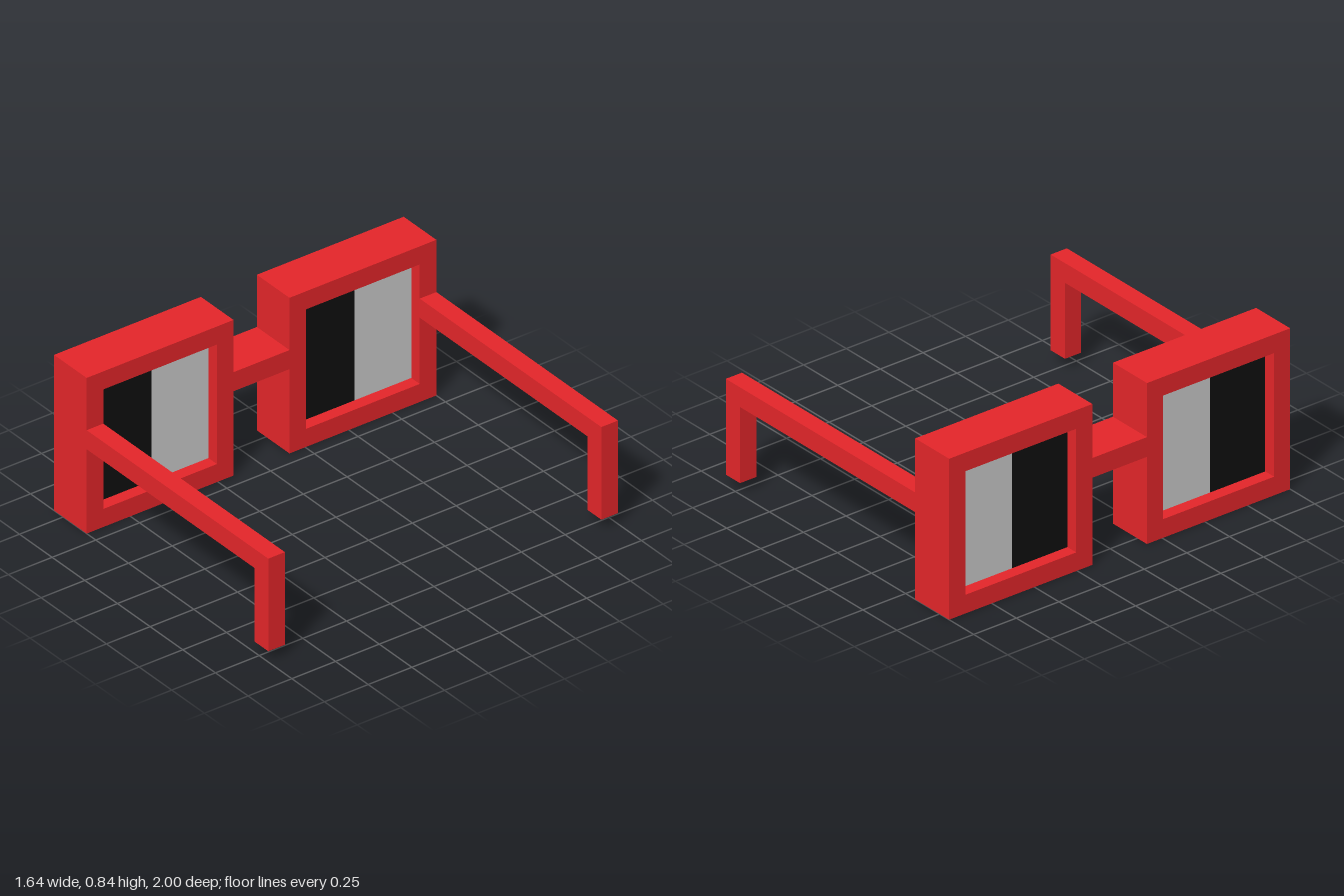
import * as THREE from 'three';

const red = new THREE.MeshStandardMaterial({ color: 0xe5262a });
const black = new THREE.MeshStandardMaterial({ color: 0x0f0f0f });
const grey = new THREE.MeshStandardMaterial({ color: 0xcccccc });

const FRONT = -0.82, BACK = -0.57; // depth range of the rims along x

// Box given by its minimum and maximum corners
function box(name, material, [x0, y0, z0], [x1, y1, z1]) {
  const mesh = new THREE.Mesh(new THREE.BoxGeometry(x1 - x0, y1 - y0, z1 - z0), material);
  mesh.position.set((x0 + x1) / 2, (y0 + y1) / 2, (z0 + z1) / 2);
  mesh.name = name;
  return mesh;
}

// Rectangle outline, centred on the origin
function rectangle(PathType, w, h) {
  return new PathType([[-1, -1], [1, -1], [1, 1], [-1, 1]]
    .map(([x, y]) => new THREE.Vector2(x * w / 2, y * h / 2)));
}

// Square rim with a window through it
function rim(zCentre) {
  const shape = rectangle(THREE.Shape, 0.84, 0.84);
  shape.holes.push(rectangle(THREE.Path, 0.65, 0.645));
  const geometry = new THREE.ExtrudeGeometry(shape, { depth: BACK - FRONT, bevelEnabled: false });
  geometry.rotateY(Math.PI / 2);
  const mesh = new THREE.Mesh(geometry, red);
  mesh.position.set(FRONT, 0.422, zCentre);
  mesh.name = 'rim';
  return mesh;
}

// L-shaped temple arm with a hooked ear piece
function temple(zCentre) {
  const shape = new THREE.Shape([
    [BACK, 0.457], [0.715, 0.457], [0.715, 0.06], [0.82, 0.06], [0.82, 0.56], [BACK, 0.56],
  ].map(([x, y]) => new THREE.Vector2(x, y)));
  const geometry = new THREE.ExtrudeGeometry(shape, { depth: 0.095, bevelEnabled: false });
  const mesh = new THREE.Mesh(geometry, red);
  mesh.position.z = zCentre - 0.0475;
  mesh.name = 'temple';
  return mesh;
}

export function createModel() {
  const model = new THREE.Group();
  model.name = 'glasses';

  for (const side of [-1, 1]) {
    const z = side * 0.58;
    model.add(rim(z), temple(side * 0.9525));

    // Two-tone lens, recessed equally on both faces
    const lens = new THREE.Group();
    lens.name = 'lens';
    lens.add(
      box('lensDarkHalf', black, [-0.755, 0.0995, z], [-0.635, 0.7445, z + 0.325]),
      box('lensLightHalf', grey, [-0.755, 0.0995, z - 0.325], [-0.635, 0.7445, z]),
    );
    model.add(lens);
  }

  // Bridge between the rims
  model.add(box('bridge', red, [FRONT, 0.457, -0.16], [BACK, 0.56, 0.16]));
  return model;
}
